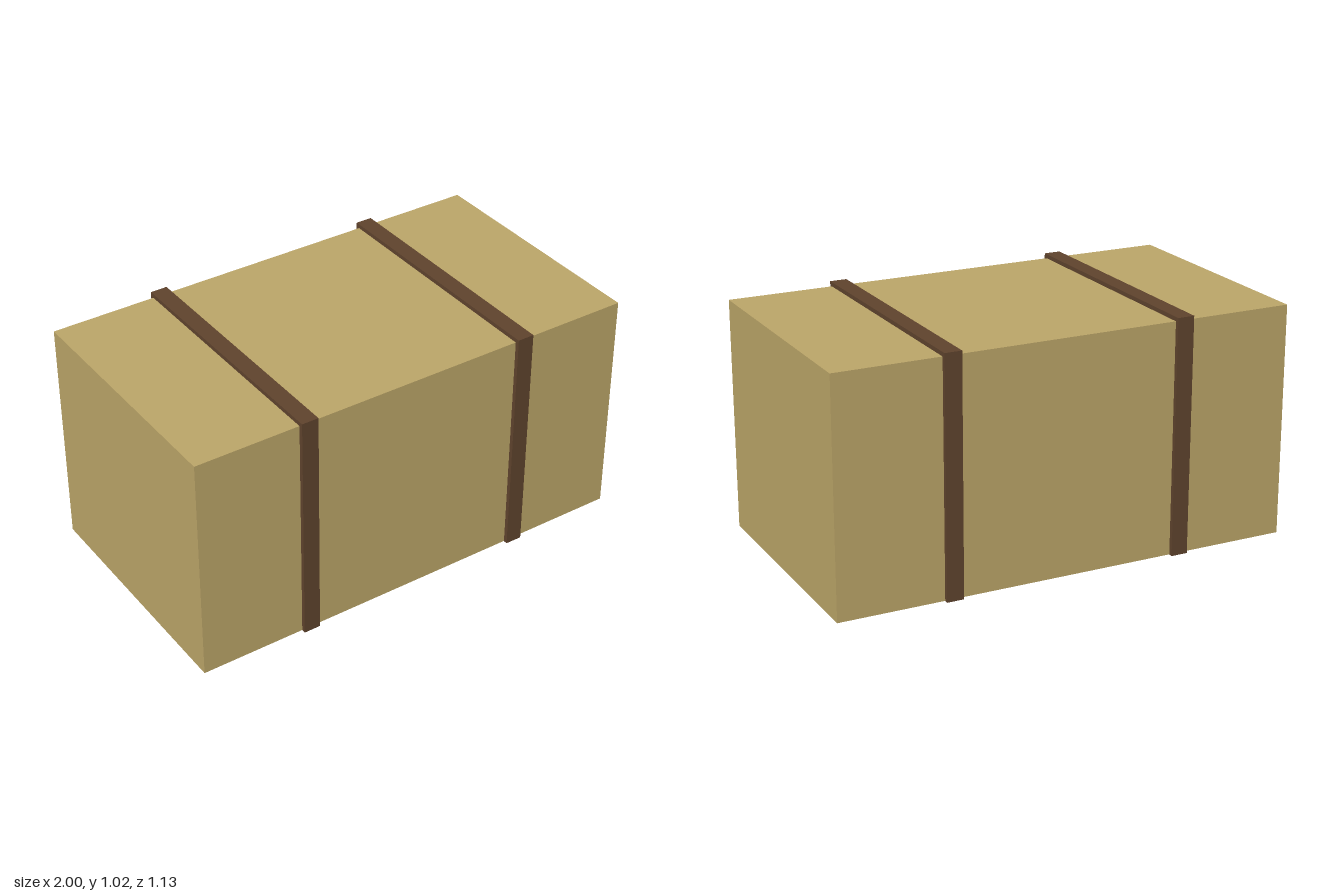
import * as THREE from 'three';

const cartonColour = new THREE.MeshStandardMaterial({ color: 0xbba568 });
cartonColour.name = 'tan carton';
const strapColour = new THREE.MeshStandardMaterial({ color: 0x5f432d });
strapColour.name = 'dark brown strap';

// Box spanning the heights bottom..top, centred on z
function block(name, material, width, bottom, top, depth, x = 0) {
  const mesh = new THREE.Mesh(new THREE.BoxGeometry(width, top - bottom, depth), material);
  mesh.name = name;
  mesh.position.set(x, (bottom + top) / 2, 0);
  return mesh;
}

export function createModel() {
  const model = new THREE.Group();
  model.name = 'strappedBox';

  // Main body, a hair above the ground so the straps show cleanly underneath
  model.add(block('body', cartonColour, 2, 0.001, 1, 1.091));

  // Two straps wrapped around the body, standing slightly proud of it
  for (const [name, x] of [['leftStrap', 0.509], ['rightStrap', -0.509]]) {
    model.add(block(name, strapColour, 0.073, 0, 1.018, 1.127, x));
  }
  return model;
}
